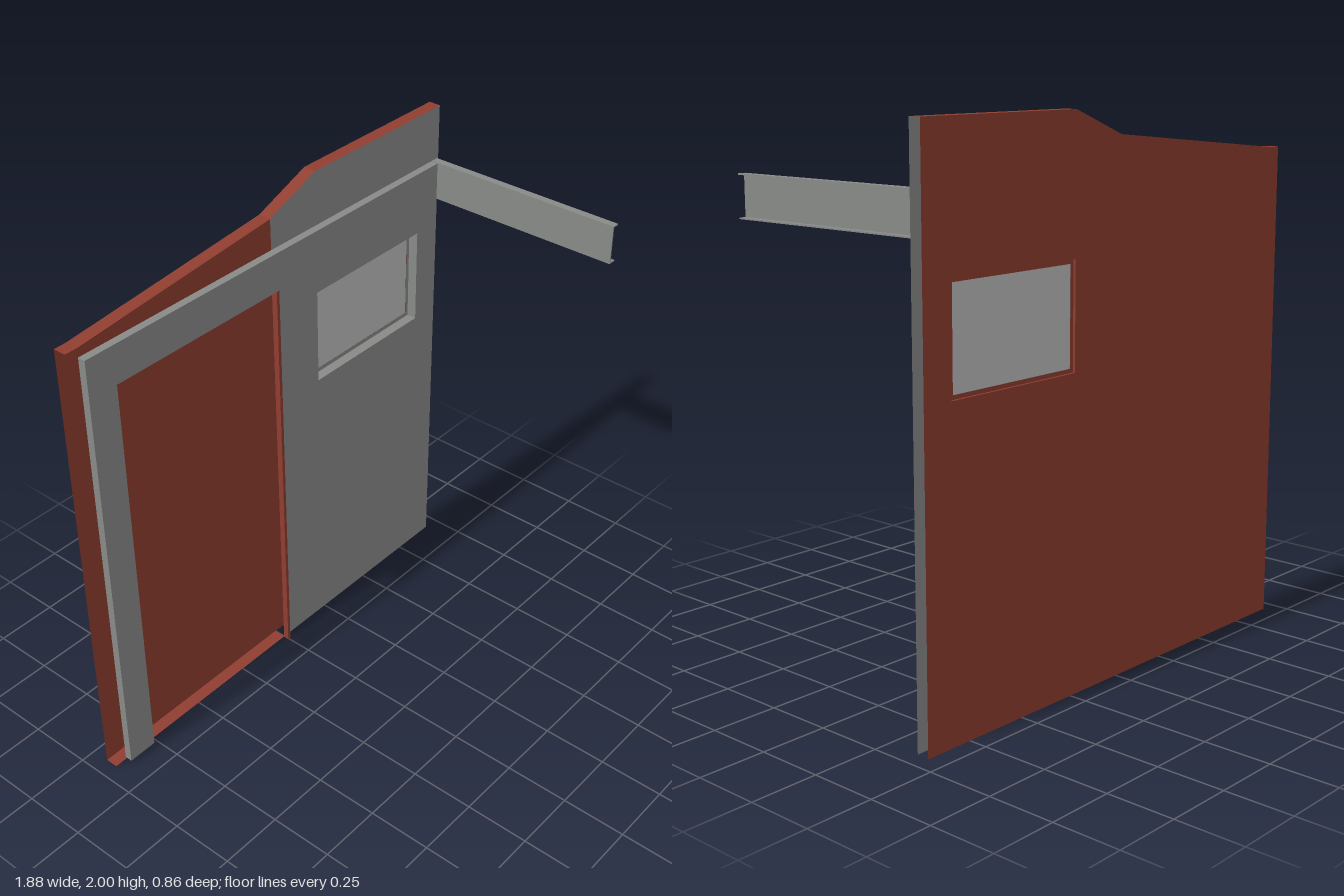
import * as THREE from 'three';

const D = THREE.DoubleSide;
const red = new THREE.MeshStandardMaterial({ color: 0x8f3d30, side: D });
red.name = 'brick red';
const grey = new THREE.MeshStandardMaterial({ color: 0x888a88, side: D });
grey.name = 'steel grey';
const pale = new THREE.MeshStandardMaterial({ color: 0xbcbcbc, side: D });
pale.name = 'pale glass';

const BACK = -0.43, FRONT = -0.38, PANE = -0.42;
const outer = [0.235, 1.135, 0.82, 1.515]; // window opening: x0, y0, x1, y1
const inner = [0.25, 1.15, 0.805, 1.5];    // visible glass
const roofLine = [[-0.94, 1.825], [-0.89, 1.825], [0, 1.91], [0.235, 2], [0.94, 2]];

const corners = ([x0, y0, x1, y1]) => [[x0, y0], [x1, y0], [x1, y1], [x0, y1]];
const vectors = (pts) => pts.map(([x, y]) => new THREE.Vector2(x, y));

function shapeOf(pts, hole) {
  const s = new THREE.Shape(vectors(pts));
  if (hole) s.holes.push(new THREE.Path(vectors(corners(hole))));
  return s;
}

function add(parent, name, geometry, material) {
  const m = new THREE.Mesh(geometry, material);
  m.name = name;
  parent.add(m);
  return m;
}

// Flat sheet at a given depth, facing front (or back when flipped)
function sheet(parent, name, pts, z, material, hole, flip = false) {
  const g = new THREE.ShapeGeometry(shapeOf(pts, hole));
  if (flip) {
    const i = g.index.array;
    for (let k = 0; k < i.length; k += 3) [i[k], i[k + 1]] = [i[k + 1], i[k]];
    g.computeVertexNormals();
  }
  g.translate(0, 0, z);
  return add(parent, name, g, material);
}

// Strip swept in z along a 2D line, one flat quad per segment
function strip(parent, name, pts, z0, z1, material) {
  const p = [];
  for (let i = 0; i < pts.length - 1; i++) {
    const [ax, ay] = pts[i], [bx, by] = pts[i + 1];
    p.push(ax, ay, z1, bx, by, z1, bx, by, z0, ax, ay, z1, bx, by, z0, ax, ay, z0);
  }
  const g = new THREE.BufferGeometry();
  g.setAttribute('position', new THREE.Float32BufferAttribute(p, 3));
  g.computeVertexNormals();
  return add(parent, name, g, material);
}

// Box given by its minimum and maximum corners
function box(parent, name, a, b, material) {
  const g = new THREE.BoxGeometry(b[0] - a[0], b[1] - a[1], b[2] - a[2]);
  g.translate((a[0] + b[0]) / 2, (a[1] + b[1]) / 2, (a[2] + b[2]) / 2);
  return add(parent, name, g, material);
}

export function createModel() {
  const model = new THREE.Group();
  model.name = 'wallPanel';

  // Wall shell: red outer skin, grey inner lining, open at both ends
  sheet(model, 'outerSkin', [[-0.94, 0], [0.94, 0], ...[...roofLine].reverse()], BACK, red, outer, true);
  sheet(model, 'innerLining', [[0, 0], [0.937, 0], [0.937, 2], [0.235, 2], [0, 1.91]], FRONT, grey, outer);
  strip(model, 'topCap', roofLine, BACK, FRONT, red);
  strip(model, 'sill', [[0, 0], [-0.94, 0]], BACK, FRONT, red);

  // Window with reveals, a narrow frame and glass
  const win = new THREE.Group();
  win.name = 'window';
  model.add(win);
  const loop = corners(outer);
  loop.push(loop[0]);
  strip(win, 'innerReveal', loop, PANE, FRONT, grey);
  strip(win, 'outerReveal', loop, BACK, PANE, red);
  sheet(win, 'innerFrame', corners(outer), PANE + 0.001, grey, inner);
  sheet(win, 'outerFrame', corners(outer), PANE - 0.001, red, inner, true);
  sheet(win, 'glass', corners(inner), PANE, pale);

  // Door surround: post and header in one piece
  const surround = shapeOf([[-0.89, 0.01], [-0.77, 0.01], [-0.77, 1.64], [0.895, 1.64], [0.895, 1.79], [-0.89, 1.79]]);
  const sg = new THREE.ExtrudeGeometry(surround, { depth: 0.03, bevelEnabled: false });
  sg.translate(0, 0, FRONT);
  add(model, 'doorSurround', sg, grey);

  // Slim red jamb beside the opening
  box(model, 'jamb', [-0.003, 0, FRONT], [0.01, 1.77, -0.357], red);

  // Projecting channel arm, open towards the outside
  const arm = new THREE.Group();
  arm.name = 'arm';
  model.add(arm);
  box(arm, 'armWeb', [0.9, 1.64, FRONT], [0.905, 1.79, 0.43], grey);
  for (const y of [1.64, 1.785]) box(arm, 'armFlange', [0.905, y, FRONT], [0.93, y + 0.005, 0.43], grey);

  return model;
}
